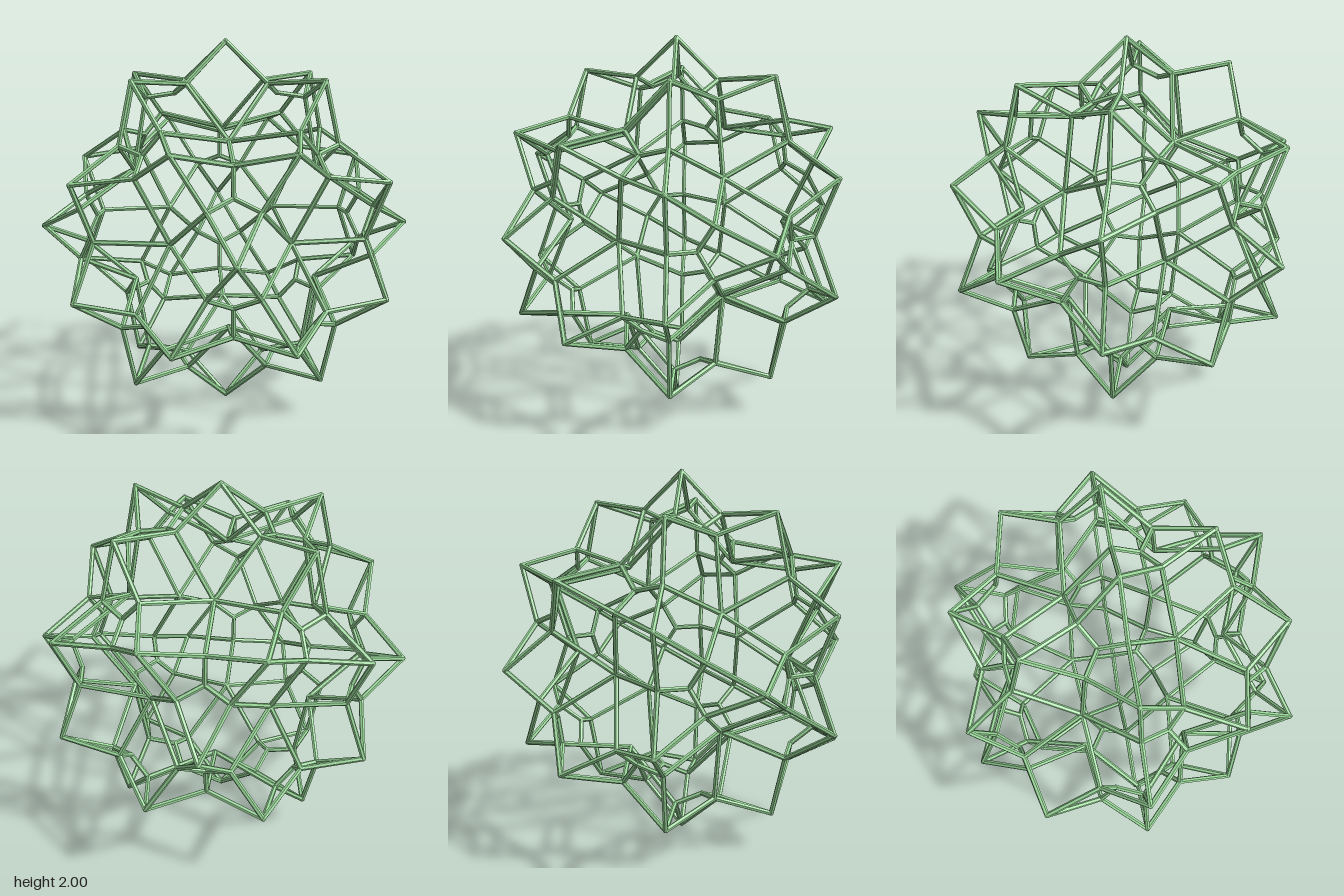
import * as THREE from 'three';

const PHI = (1 + Math.sqrt(5)) / 2;
const SCALE = 0.986;   // strut axes; the strut thickness fills out the rest
const RADIUS = 0.0135;

// All sign changes and cyclic permutations of a point, without duplicates
function orbit(x, y, z) {
  const found = new Map();
  for (const sx of [1, -1]) for (const sy of [1, -1]) for (const sz of [1, -1]) {
    const p = [x * sx, y * sy, z * sz];
    for (let k = 0; k < 3; k++) {
      const v = new THREE.Vector3(p[k], p[(k + 1) % 3], p[(k + 2) % 3]);
      const key = v.toArray().map(n => Math.round(n * 1000) + 0).join();
      found.set(key, v);
    }
  }
  return [...found.values()];
}

function nearest(p, list) {
  return list.reduce((a, b) => (p.distanceToSquared(b) < p.distanceToSquared(a) ? b : a));
}

export function createModel() {
  const group = new THREE.Group();
  group.name = 'starPolyhedronFrame';
  const material = new THREE.MeshStandardMaterial({ color: 0x98d698, flatShading: true });

  // Corners on the two-, five- and three-fold axes of an icosahedron
  const tips = [...orbit(1, 0, 0), ...orbit(0.5, PHI / 2, 0.5 / PHI)];
  const deepCorners = orbit(0, 0.5, 0.5 / PHI);
  const d = 1 / Math.sqrt(5);
  const shallowCorners = [...orbit(d / PHI, d * PHI, 0), ...orbit(d, d, d)];

  // Valley corners between neighbouring tips, each joined to four others
  const valleys = [];
  const edges = [];
  tips.forEach((a, i) => tips.slice(i + 1).forEach(b => {
    if (a.distanceTo(b) > 0.65) return;
    const p = a.clone().add(b).multiplyScalar(0.433);
    valleys.push(p);
    edges.push(['tipStrut', p, a], ['tipStrut', p, b]);
    edges.push(['deepStrut', p, nearest(p, deepCorners)]);
    edges.push(['shallowStrut', p, nearest(p, shallowCorners)]);
  }));

  const place = v => v.clone().multiplyScalar(SCALE).add(new THREE.Vector3(0, 1, 0));

  // Struts
  const up = new THREE.Vector3(0, 1, 0);
  for (const [name, from, to] of edges) {
    const a = place(from), b = place(to);
    const dir = b.clone().sub(a);
    const strut = new THREE.Mesh(
      new THREE.CylinderGeometry(RADIUS, RADIUS, dir.length(), 6, 1, true), material);
    strut.name = name;
    strut.position.copy(a).add(b).multiplyScalar(0.5);
    strut.quaternion.setFromUnitVectors(up, dir.normalize());
    group.add(strut);
  }

  // Joints closing the strut ends
  const jointGeometry = new THREE.IcosahedronGeometry(RADIUS * 1.04, 1);
  for (const v of [...tips, ...valleys, ...deepCorners, ...shallowCorners]) {
    const joint = new THREE.Mesh(jointGeometry, material);
    joint.name = 'joint';
    joint.position.copy(place(v));
    group.add(joint);
  }
  return group;
}
